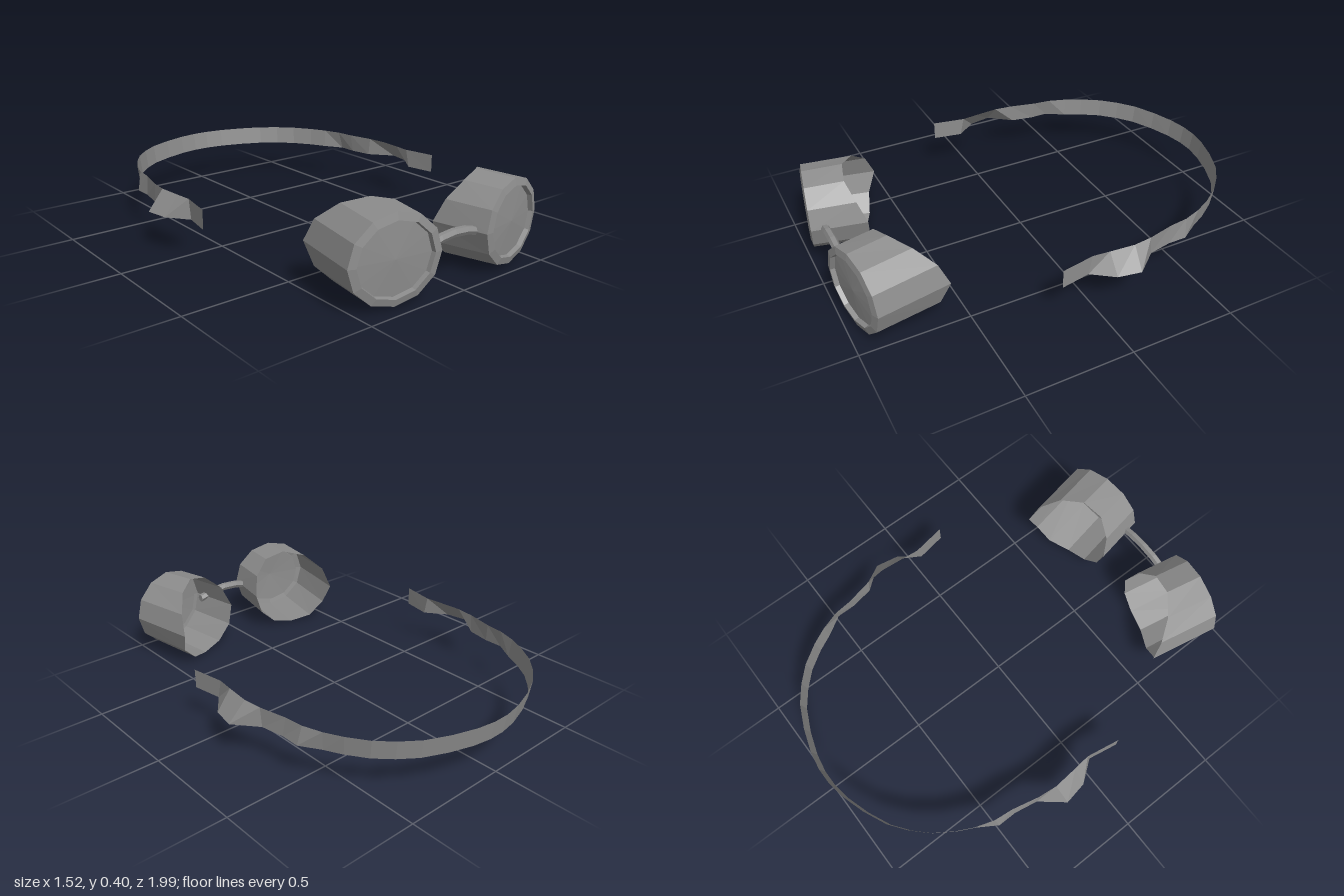
import * as THREE from 'three';

const grey = new THREE.MeshStandardMaterial({ color: 0x8c8c8c, flatShading: true, side: THREE.DoubleSide });
grey.name = 'grey';

// Skin of quads between rows of points
function loft(rows, closed, flip) {
  const n = rows[0].length, index = [];
  for (let i = 0; i < rows.length - 1; i++) {
    for (let j = 0; j < (closed ? n : n - 1); j++) {
      const k = (j + 1) % n;
      const a = i * n + j, b = i * n + k, c = a + n, d = b + n;
      index.push(...(flip ? [a, d, b, a, c, d] : [a, b, d, a, d, c]));
    }
  }
  const g = new THREE.BufferGeometry();
  g.setAttribute('position', new THREE.Float32BufferAttribute(rows.flat(2), 3));
  g.setIndex(index);
  g.computeVertexNormals();
  return g;
}

function part(name, geometry) {
  const m = new THREE.Mesh(geometry, grey);
  m.name = name;
  return m;
}

// Depth of the cup's face-fitting back edge at each of its 12 corners,
// starting at the temple and running over the top
const DEPTHS = [0.35, 0.31, 0.243, 0.19, 0.184, 0.222, 0.262, 0.265, 0.26, 0.26, 0.295, 0.31];
const YAW = 0.187;

// 12-sided ring in the frame of a yawed cup; side is 1 or -1
function ring(side, rx, ry, depth, cy = 0.203) {
  return DEPTHS.map((d, j) => {
    const t = j * Math.PI / 6;
    const u = rx * Math.cos(t), w = -(depth === 'back' ? d : depth);
    return [
      side * (0.34 + u * Math.cos(YAW) + w * Math.sin(YAW)),
      cy + ry * Math.sin(t),
      0.957 - u * Math.sin(YAW) + w * Math.cos(YAW),
    ];
  });
}

function eyepiece(side) {
  const g = new THREE.Group();
  g.name = side > 0 ? 'leftEyepiece' : 'rightEyepiece';
  const flip = side < 0;
  const back = ring(side, 0.211, 0.2, 'back', 0.2);
  const front = ring(side, 0.211, 0.191, 0.005);
  const lip = ring(side, 0.176, 0.159, -0.003);
  const seat = ring(side, 0.172, 0.155, 0.018);
  const centre = ring(side, 0, 0, 0.008);
  g.add(part('cup', loft([back, front], true, flip)));
  g.add(part('rim', loft([front, lip, seat], true, flip)));
  g.add(part('lens', loft([seat, centre], true, flip)));
  return g;
}

// Arched nose bridge whose ends pass through the cup walls
function bridge() {
  const g = new THREE.CylinderGeometry(0.02, 0.02, 0.31, 6, 4).rotateZ(Math.PI / 2);
  const p = g.attributes.position;
  for (let i = 0; i < p.count; i++) {
    const x = p.getX(i);
    p.setY(i, p.getY(i) + 0.224 - 1.1 * x * x);
    p.setZ(i, p.getZ(i) + 0.928);
  }
  g.computeVertexNormals();
  return part('bridge', g);
}

// Head strap: lower and upper edges as [x, z], with a flared fold at each temple
function strap() {
  const low = [[0.69, 0.16], [0.665, 0.02], [0.74, -0.08], [0.76, -0.19], [0.67, -0.3], [0.65, -0.41], [0.65, -0.5]];
  const high = [[0.69, 0.16], [0.662, 0], [0.67, -0.08], [0.68, -0.2], [0.67, -0.29], [0.64, -0.42], [0.63, -0.51]];
  const arc = [[0.6, -0.6], [0.56, -0.68], [0.5, -0.77], [0.43, -0.84], [0.35, -0.9], [0.24, -0.95], [0.13, -0.985], [0.04, -1]];
  const edge = (pts, y) => {
    const half = pts.map(([x, z]) => [x, y, z]);
    return [...half, ...half.map(([x, , z]) => [-x, y, z]).reverse()];
  };
  const lowArc = arc.map(([x, z]) => [x * 0.988, z * 0.986]);
  return part('strap', loft([edge([...low, ...lowArc], 0.17), edge([...high, ...arc], 0.26)], false, false));
}

export function createModel() {
  const model = new THREE.Group();
  model.name = 'goggles';
  model.add(eyepiece(1), eyepiece(-1), bridge(), strap());
  return model;
}
